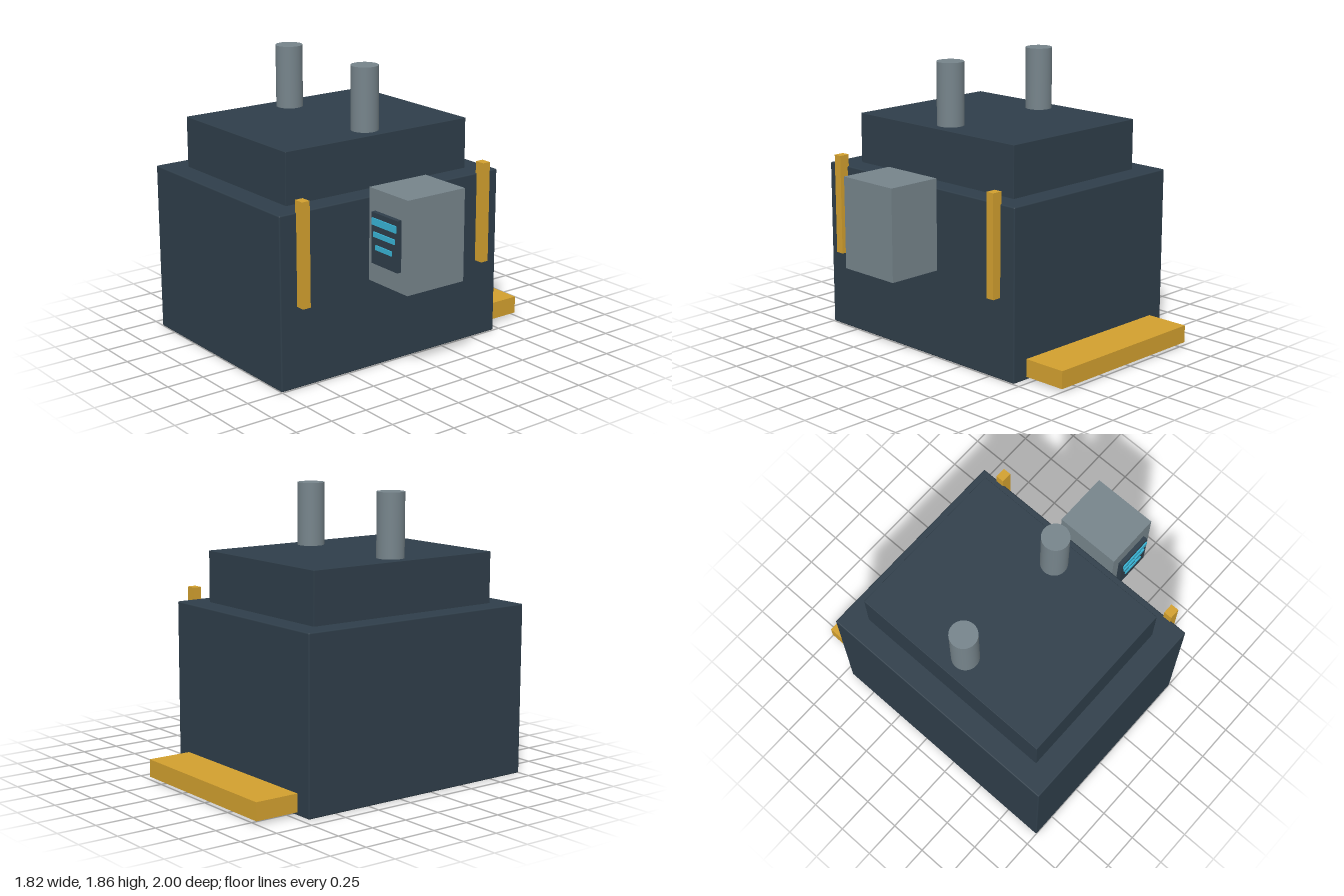
import * as THREE from 'three';
import { RoundedBoxGeometry } from 'three/addons/geometries/RoundedBoxGeometry.js';

const paint = (name, color) => {
  const m = new THREE.MeshStandardMaterial({ color });
  m.name = name;
  return m;
};

export function createModel() {
  const group = new THREE.Group();
  const navy = paint('navy', 0x2f3e4a);
  const steel = paint('steel grey', 0x76848b);
  const gold = paint('gold', 0xd2a02f);
  const cyan = paint('cyan', 0x38b4d6);

  const add = (name, geometry, material, x, y, z) => {
    const mesh = new THREE.Mesh(geometry, material);
    mesh.name = name;
    mesh.position.set(x, y, z);
    group.add(mesh);
  };
  // Box given by its extents on each axis, with an optional edge radius
  const box = (name, material, [x0, x1], [y0, y1], [z0, z1], edge = 0) => {
    const size = [x1 - x0, y1 - y0, z1 - z0];
    const geometry = edge
      ? new RoundedBoxGeometry(...size, 2, edge)
      : new THREE.BoxGeometry(...size);
    add(name, geometry, material, (x0 + x1) / 2, (y0 + y1) / 2, (z0 + z1) / 2);
  };

  // Main housing and stepped top
  box('body', navy, [-0.91, 0.495], [0, 1.112], [-0.703, 1], 0.008);
  box('upperHousing', navy, [-0.762, 0.348], [1.09, 1.445], [-0.555, 0.85], 0.003);

  // Exhaust pipes
  for (const x of [-0.613, 0.201]) {
    add('exhaustPipe', new THREE.CylinderGeometry(0.088, 0.088, 0.425, 32), steel, x, 1.6425, 0.147);
  }

  // Rear loading ledge
  box('rearLedge', gold, [-0.798, 0.385], [0.02, 0.135], [-1, -0.7]);

  // Upright rails on the left side
  for (const z of [-0.558, 0.852]) {
    box('sideRail', gold, [0.485, 0.556], [0.525, 1.19], [z - 0.028, z + 0.028]);
  }

  // Control console with its screen and readout bars
  box('console', steel, [0.535, 0.905], [0.597, 1.19], [-0.072, 0.368]);
  box('screen', navy, [0.595, 0.846], [0.73, 1.055], [0.36, 0.398]);
  for (const [x0, x1, y, h] of [[0.608, 0.838, 1, 0.044], [0.622, 0.822, 0.92, 0.032], [0.642, 0.796, 0.84, 0.03]]) {
    box('readoutBar', cyan, [x0, x1], [y - h / 2, y + h / 2], [0.397, 0.406]);
  }

  return group;
}
